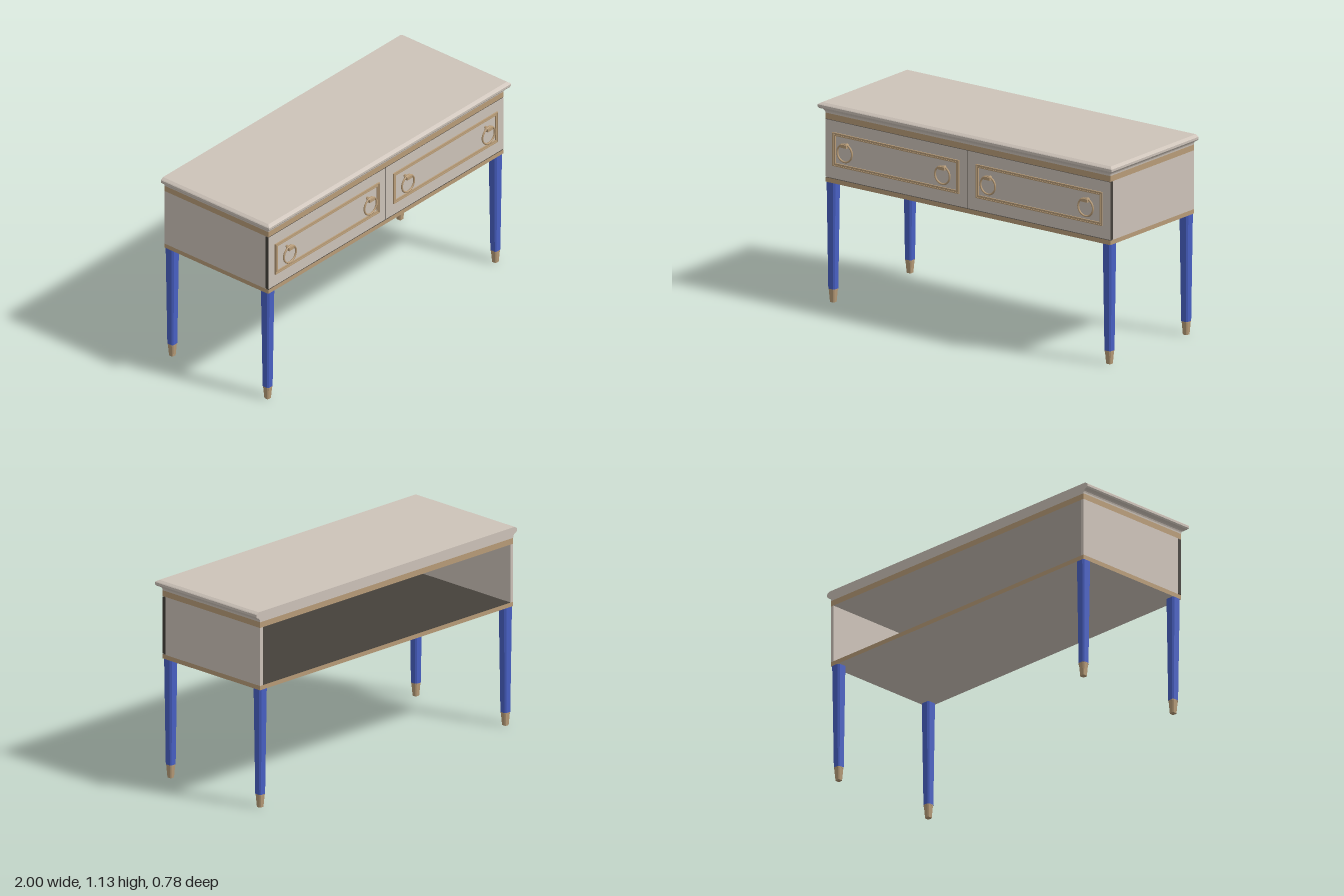
import * as THREE from 'three';

const mat = (name, color) => Object.assign(new THREE.MeshStandardMaterial({ color }), { name });

export function createModel() {
  const paint = mat('greige paint', 0xcdc3b9);
  const gilt = mat('gilt trim', 0xb89c78);
  const blue = mat('blue leg paint', 0x4860c4);
  const dark = mat('dark raw wood', 0x45413b);

  const model = new THREE.Group();
  model.name = 'consoleTable';

  const add = (name, geo, material, x = 0, y = 0, z = 0, parent = model) => {
    const mesh = new THREE.Mesh(geo, material);
    mesh.name = name;
    mesh.position.set(x, y, z);
    parent.add(mesh);
    return mesh;
  };
  // Box given by its limits on each axis
  const box = (name, [x0, x1], [y0, y1], [z0, z1], material, parent) =>
    add(name, new THREE.BoxGeometry(x1 - x0, y1 - y0, z1 - z0), material,
      (x0 + x1) / 2, (y0 + y1) / 2, (z0 + z1) / 2, parent);

  const BACK = -0.39, FRONT = 0.352, HALF = 0.97;

  // Carcass: gilt-edged floor and top rail, side panels, open back
  box('floorPanel', [-HALF, HALF], [0.68, 0.705], [BACK, FRONT], [gilt, gilt, dark, paint, gilt, gilt]);
  box('topRail', [-HALF, HALF], [1.037, 1.07], [BACK, FRONT], [gilt, gilt, paint, paint, gilt, gilt]);
  for (const s of [-1, 1]) {
    const xs = [s * 0.95, s * HALF].sort((a, b) => a - b);
    box('sidePanel', xs, [0.705, 1.037], [BACK, 0.33], paint);
  }

  // Cornice: cove and bevelled slab, projecting at front and sides, flush at the back
  const profile = [[0, 1.07], [0.001, 1.078], [0.004, 1.085], [0.009, 1.091], [0.018, 1.096],
    [0.024, 1.097], [0.03, 1.105], [0.03, 1.118], [0.026, 1.122], [0.012, 1.13]];
  const rings = profile.map(([o, y]) => {
    const x = HALF + o, z = FRONT + o;
    return [[-x, y, z], [x, y, z], [x, y, BACK], [-x, y, BACK]];
  });
  const pos = [];
  const quad = (a, b, c, d) => pos.push(...a, ...b, ...c, ...a, ...c, ...d);
  for (let i = 0; i < rings.length - 1; i++) {
    for (let k = 0; k < 4; k++) {
      const n = (k + 1) % 4;
      quad(rings[i][k], rings[i][n], rings[i + 1][n], rings[i + 1][k]);
    }
  }
  quad(...rings[rings.length - 1]);
  quad(...[...rings[0]].reverse());
  const cornice = new THREE.BufferGeometry();
  cornice.setAttribute('position', new THREE.Float32BufferAttribute(pos, 3));
  cornice.computeVertexNormals();
  add('tabletop', cornice, paint);

  // Rectangular moulding with an open middle
  const frame = (w, h, t, depth) => {
    const rect = (P, a, b) => new P([[-a, -b], [a, -b], [a, b], [-a, b]].map(p => new THREE.Vector2(...p)));
    const shape = rect(THREE.Shape, w / 2, h / 2);
    shape.holes.push(rect(THREE.Path, w / 2 - t, h / 2 - t));
    return new THREE.ExtrudeGeometry(shape, { depth, bevelEnabled: false });
  };

  // Drawers with mouldings and ring pulls
  const ringGeo = new THREE.TorusGeometry(0.05, 0.0055, 8, 32);
  const postGeo = new THREE.CylinderGeometry(0.008, 0.008, 0.036, 12).rotateX(Math.PI / 2);
  for (const s of [-1, 1]) {
    const drawer = new THREE.Group();
    drawer.name = s > 0 ? 'leftDrawer' : 'rightDrawer';
    model.add(drawer);
    const xs = [s * 0.002, s * HALF].sort((a, b) => a - b);
    box('drawerFront', xs, [0.709, 1.034], [0.33, FRONT], [dark, dark, dark, dark, paint, dark], drawer);
    add('moulding', frame(0.86, 0.19, 0.018, 0.004), gilt, s * 0.4875, 0.875, FRONT, drawer);
    add('outerBead', frame(0.86, 0.19, 0.006, 0.008), gilt, s * 0.4875, 0.875, FRONT, drawer);
    add('innerBead', frame(0.836, 0.166, 0.006, 0.007), gilt, s * 0.4875, 0.875, FRONT, drawer);
    for (const x of [0.155, 0.82]) {
      add('pullRing', ringGeo, gilt, s * x, 0.873, 0.377, drawer);
      add('pullPost', postGeo, gilt, s * x, 0.915, 0.37, drawer);
      box('pullCap', [s * x - 0.021, s * x + 0.021], [0.905, 0.923], [0.366, 0.39], gilt, drawer);
    }
  }

  // Tapered post with chamfered corners, running from y0 up to y1
  const taper = (w0, w1, y0, y1) => {
    const a = 0.5, b = 0.34;
    const shape = new THREE.Shape([[-b, -a], [b, -a], [a, -b], [a, b], [b, a], [-b, a], [-a, b], [-a, -b]]
      .map(p => new THREE.Vector2(...p)));
    const geo = new THREE.ExtrudeGeometry(shape, { depth: 1, bevelEnabled: false }).rotateX(-Math.PI / 2);
    const p = geo.attributes.position;
    for (let i = 0; i < p.count; i++) {
      const t = p.getY(i), w = w0 + (w1 - w0) * t;
      p.setXYZ(i, p.getX(i) * w, y0 + (y1 - y0) * t, p.getZ(i) * w);
    }
    geo.computeVertexNormals();
    return geo;
  };

  // Legs with gilt feet
  const legGeo = taper(0.045, 0.06, 0.076, 0.68);
  const collarGeo = taper(0.044, 0.044, 0.07, 0.076);
  const footGeo = taper(0.03, 0.041, 0, 0.07);
  for (const x of [-0.94, 0.94]) {
    for (const z of [-0.36, 0.321]) {
      const leg = new THREE.Group();
      leg.name = z > 0 ? 'frontLeg' : 'backLeg';
      leg.position.set(x, 0, z);
      model.add(leg);
      add('legShaft', legGeo, blue, 0, 0, 0, leg);
      add('legCollar', collarGeo, gilt, 0, 0, 0, leg);
      add('legFoot', footGeo, gilt, 0, 0, 0, leg);
    }
  }
  return model;
}
